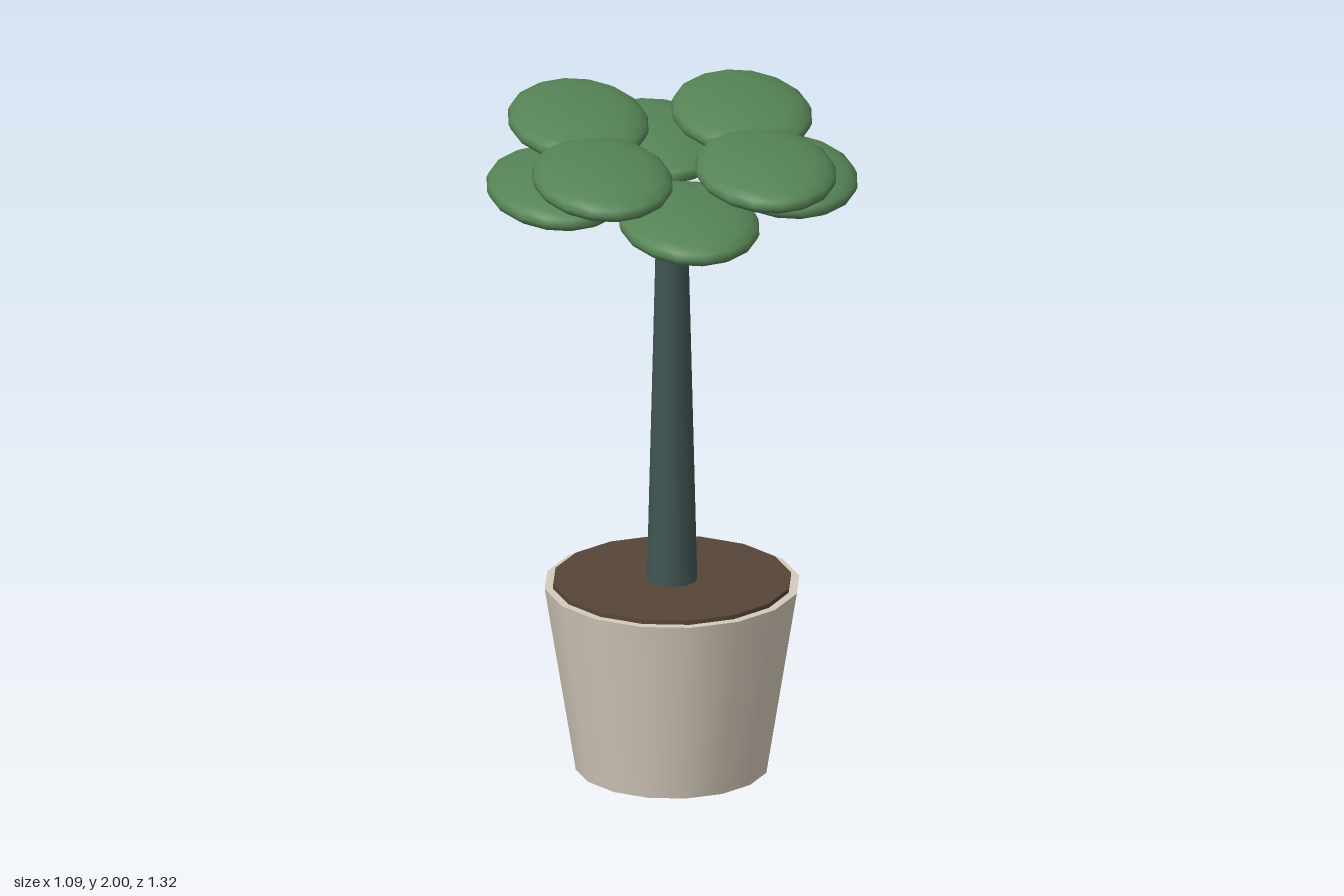
import * as THREE from 'three';

const material = (name, color) => {
  const m = new THREE.MeshStandardMaterial({ color });
  m.name = name;
  return m;
};

export function createModel() {
  const group = new THREE.Group();
  group.name = 'pottedTree';

  const clay = material('paleClay', 0xd4cabb);
  const earth = material('brownSoil', 0x574639);
  const bark = material('slateBark', 0x405552);
  const green = material('leafGreen', 0x568456);

  // Tapered cylinder standing between two heights
  const addColumn = (name, mat, rTop, rBottom, y0, y1, sides) => {
    const mesh = new THREE.Mesh(new THREE.CylinderGeometry(rTop, rBottom, y1 - y0, sides), mat);
    mesh.position.y = (y0 + y1) / 2;
    mesh.name = name;
    group.add(mesh);
  };
  addColumn('pot', clay, 0.377, 0.285, 0, 0.57, 16);
  addColumn('soil', earth, 0.352, 0.352, 0.54, 0.583, 16);
  addColumn('trunk', bark, 0.044, 0.075, 0.57, 1.81, 12);

  // Flattened oval leaf pads, all sharing one shape
  const pad = new THREE.SphereGeometry(1, 16, 12);
  pad.scale(0.206, 0.061, 0.318);
  const addLeaf = (name, x, y, z) => {
    const leaf = new THREE.Mesh(pad, green);
    leaf.position.set(x, y, z);
    leaf.name = name;
    group.add(leaf);
  };
  for (const s of [1, -1]) {
    // Lower ring
    addLeaf(s > 0 ? 'lowerFrontLeaf' : 'lowerBackLeaf', 0, 1.825, s * 0.342);
    addLeaf(s > 0 ? 'lowerLeftLeaf' : 'lowerRightLeaf', s * 0.341, 1.825, 0);
    // Upper ring
    for (const t of [1, -1]) {
      addLeaf(`upper${t > 0 ? 'Front' : 'Back'}${s > 0 ? 'Left' : 'Right'}Leaf`, s * 0.242, 1.939, t * 0.242);
    }
  }
  return group;
}
